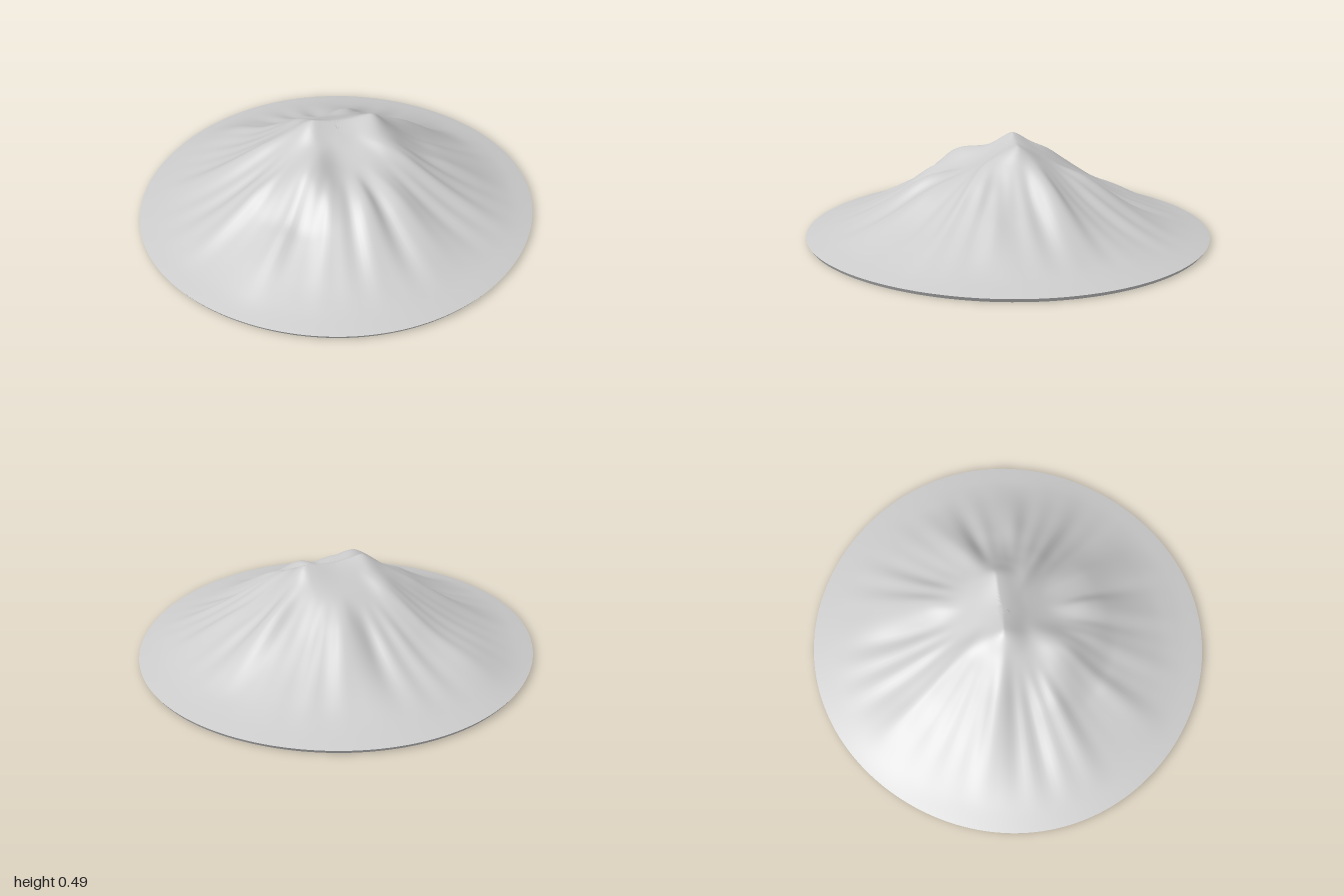
import * as THREE from 'three';

const SEG = 192, RINGS = 56;
const smooth = THREE.MathUtils.smoothstep, lerp = THREE.MathUtils.lerp;

// mean slope: distance from the summit, height
const SLOPE = [[0, 0.49], [0.1, 0.487], [0.22, 0.405], [0.33, 0.325], [0.45, 0.245],
  [0.6, 0.16], [0.75, 0.095], [0.88, 0.05], [1, 0.018]];

// ridges: angle, width before, width after (degrees), height, start, peak and end radius
const RIDGES = [
  [193, 18, 12, 0.032, 0.12, 0.3, 1.0],
  [193, 14, 12, 0.022, 0.5, 0.75, 1.0],
  [153, 9, 14, 0.045, 0.15, 0.42, 0.9],
  [118, 9, 9, 0.035, 0.3, 0.5, 0.95],
  [88, 22, 22, 0.075, 0.08, 0.33, 0.55],
  [90, 9, 9, 0.028, 0.4, 0.6, 0.98],
  [64, 8, 8, 0.025, 0.25, 0.45, 0.85],
  [44, 7, 9, 0.038, 0.2, 0.42, 0.8],
  [22, 8, 7, 0.035, 0.2, 0.5, 0.9],
  [-11, 14, 10, 0.042, 0.1, 0.4, 1.0],
  [-31, 6, 6, 0.035, 0.3, 0.58, 0.9],
  [-45, 6, 6, 0.03, 0.25, 0.55, 0.9],
  [-64, 11, 9, 0.07, 0.2, 0.46, 0.85],
  [-112, 9, 15, 0.04, 0.2, 0.42, 0.85],
  [-128, 6, 6, -0.018, 0.25, 0.5, 0.85],
];

// monotone-tangent interpolation of the slope
function slopeAt(d) {
  let i = 0;
  while (i < SLOPE.length - 2 && d > SLOPE[i + 1][0]) i++;
  const grad = (k) => {
    const a = SLOPE[Math.max(k - 1, 0)], b = SLOPE[Math.min(k + 1, SLOPE.length - 1)];
    return (b[1] - a[1]) / (b[0] - a[0]);
  };
  const [x0, y0] = SLOPE[i], [x1, y1] = SLOPE[i + 1];
  const w = x1 - x0, t = Math.min((d - x0) / w, 1), t2 = t * t, t3 = t2 * t;
  return (2 * t3 - 3 * t2 + 1) * y0 + (t3 - 2 * t2 + t) * w * grad(i)
    + (3 * t2 - 2 * t3) * y1 + (t3 - t2) * w * grad(i + 1);
}

function heightAt(a, r) {
  const x = r * Math.cos(a), z = r * Math.sin(a);
  // sharp summit crest running diagonally, with a slight saddle
  const ax = -0.11, az = 0.05, dx = 0.23, dz = -0.2;
  const t = THREE.MathUtils.clamp(((x - ax) * dx + (z - az) * dz) / (dx * dx + dz * dz), 0, 1);
  const d = Math.hypot(x - ax - t * dx, z - az - t * dz);
  let h = slopeAt(lerp(d + 0.09, r, smooth(r, 0.08, 0.5)));
  h -= 0.02 * Math.sin(Math.PI * t) * Math.exp(-((d / 0.1) ** 2));

  for (const [deg, w0, w1, amp, r0, rp, r1] of RIDGES) {
    const off = ((THREE.MathUtils.radToDeg(a) - deg + 900) % 360) - 180;
    const across = Math.exp(-((off / (off < 0 ? w0 : w1)) ** 2));
    h += amp * across * smooth(r, r0, rp) * (1 - smooth(r, rp, r1));
  }
  // fine erosion furrows
  const furrow = Math.sin(a * 23 + 3 * Math.sin(a * 3)) + 0.6 * Math.sin(a * 37 + 1);
  return h + 0.004 * furrow * smooth(r, 0.25, 0.5) * (1 - smooth(r, 0.6, 0.95));
}

const rimAt = (a) => 0.995 - 0.01 * Math.cos(2 * a) - 0.005 * Math.cos(4 * a);

// closed rings of points joined into a skin facing upward and outward
function skin(rings, pointAt) {
  const pos = [], index = [];
  for (let j = 0; j <= rings; j++) {
    for (let i = 0; i < SEG; i++) {
      pos.push(...pointAt((i / SEG) * Math.PI * 2, j / rings));
      if (j === rings) continue;
      const a = j * SEG + i, b = j * SEG + ((i + 1) % SEG), c = a + SEG, e = b + SEG;
      if (j > 0 || rings === 1) index.push(a, b, c);
      index.push(b, e, c);
    }
  }
  const g = new THREE.BufferGeometry();
  g.setAttribute('position', new THREE.Float32BufferAttribute(pos, 3));
  g.setIndex(index);
  g.computeVertexNormals();
  return g;
}

export function createModel() {
  const group = new THREE.Group();
  group.name = 'mountain';
  const rock = new THREE.MeshStandardMaterial({ color: 0xcccccc });
  rock.name = 'paleGreyRock';
  const add = (geometry, name) => {
    const mesh = new THREE.Mesh(geometry, rock);
    mesh.name = name;
    group.add(mesh);
  };

  // ridged slopes
  add(skin(RINGS, (a, t) => {
    const r = Math.max(t, 0.0005);
    const R = r * rimAt(a);
    return [R * Math.cos(a), heightAt(a, r), R * Math.sin(a)];
  }), 'slopes');

  // thin undercut edge
  add(skin(1, (a, t) => {
    const R = rimAt(a) - 0.012 * t;
    return [R * Math.cos(a), t ? 0 : heightAt(a, 1), R * Math.sin(a)];
  }), 'rim');

  // flat underside
  const outline = [];
  for (let i = 0; i < SEG; i++) {
    const a = (i / SEG) * Math.PI * 2, R = rimAt(a) - 0.012;
    outline.push(new THREE.Vector2(R * Math.cos(a), R * Math.sin(a)));
  }
  add(new THREE.ShapeGeometry(new THREE.Shape(outline)).rotateX(Math.PI / 2), 'underside');
  return group;
}
